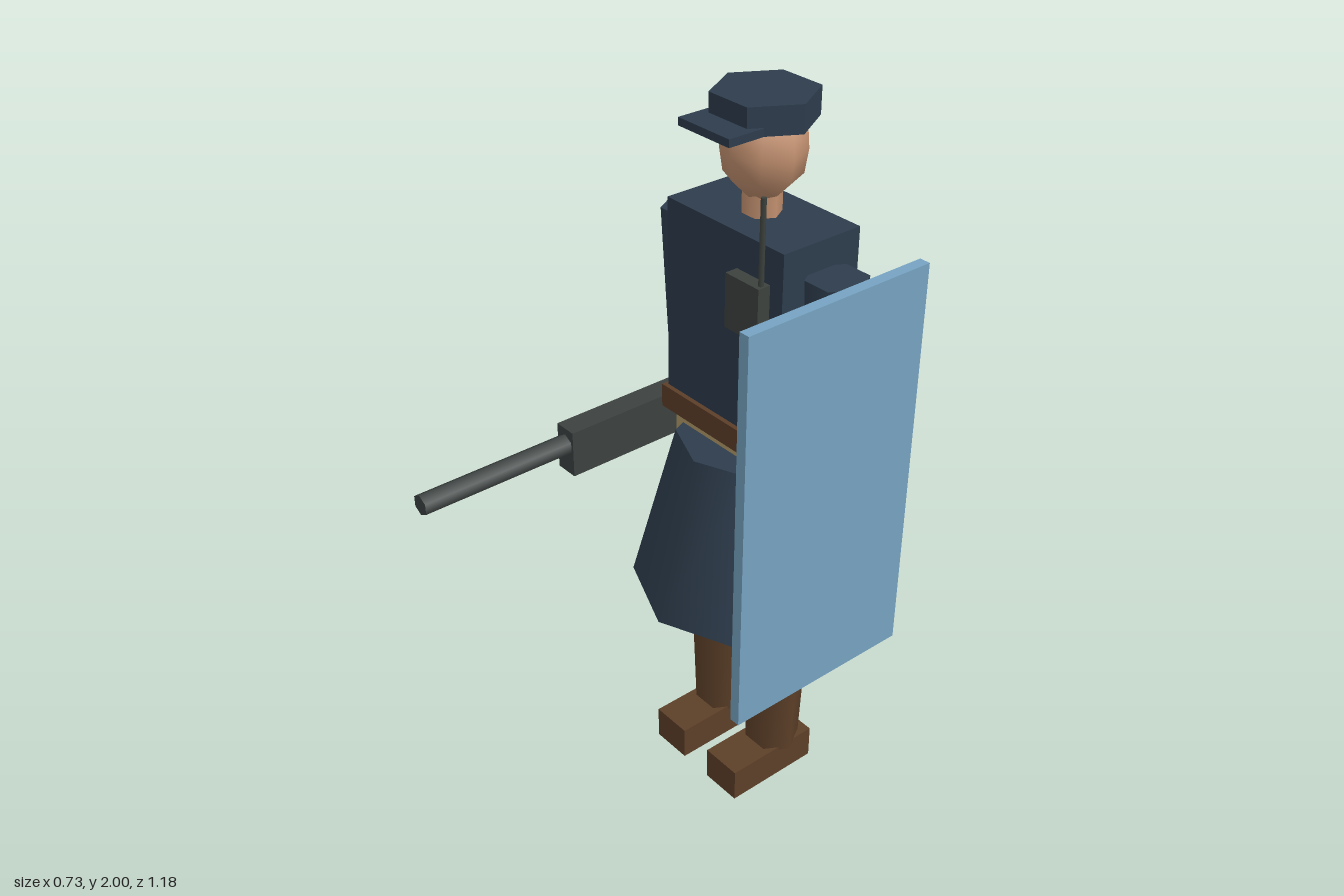
import * as THREE from 'three';

const CX = -0.026, CZ = -0.262; // body axis

const mat = (name, color, extra = {}) => {
  const m = new THREE.MeshStandardMaterial({ color, ...extra });
  m.name = name;
  return m;
};

export function createModel() {
  const navy = mat('navy cloth', 0x2d3c4c);
  const navyFlat = mat('navy cap', 0x2d3c4c, { flatShading: true });
  const skin = mat('skin', 0xc2906f);
  const brown = mat('brown leather', 0x5c3f28);
  const tan = mat('tan cloth', 0xb09a68);
  const gunGrey = mat('gun grey', 0x3c4241);
  const radioGrey = mat('radio grey', 0x3d423e);
  const black = mat('pad black', 0x232627);
  const blue = mat('shield blue', 0x76a3c1);

  const model = new THREE.Group();
  model.name = 'guard';

  const add = (name, geometry, material) => {
    const mesh = new THREE.Mesh(geometry, material);
    mesh.name = name;
    model.add(mesh);
    return mesh;
  };
  // Box given by its low and high limits on each axis
  const box = (name, m, [x0, x1], [y0, y1], [z0, z1]) =>
    add(name, new THREE.BoxGeometry(x1 - x0, y1 - y0, z1 - z0), m)
      .position.set((x0 + x1) / 2, (y0 + y1) / 2, (z0 + z1) / 2);
  // Upright faceted column with corners on the x axis
  const column = (name, m, x, z, [y0, y1], rBottom, rTop, sides = 6) =>
    add(name, new THREE.CylinderGeometry(rTop, rBottom, y1 - y0, sides, 1, false, Math.PI / 2), m)
      .position.set(x, (y0 + y1) / 2, z);

  // Torso, belt, hips and skirt
  box('torso', navy, [CX - 0.209, CX + 0.209], [1.15, 1.70], [CZ - 0.12, CZ + 0.12]);
  box('belt', brown, [CX - 0.22, CX + 0.22], [1.11, 1.175], [CZ - 0.133, CZ + 0.133]);
  box('hips', tan, [CX - 0.19, CX + 0.19], [0.9, 1.12], [CZ - 0.109, CZ + 0.109]);
  column('skirt', navy, CX, CZ, [0.613, 1.075], 0.328, 0.208, 8);

  // Neck and head
  column('neck', skin, CX, CZ, [1.69, 1.78], 0.05, 0.05);
  const headProfile = [[0, 1.742], [0.042, 1.746], [0.096, 1.8], [0.105, 1.86], [0.1, 1.92], [0.06, 1.96], [0, 1.97]]
    .map(([r, y]) => new THREE.Vector2(r, y));
  add('head', new THREE.LatheGeometry(headProfile, 8), skin).position.set(CX, 0, CZ);

  // Peaked cap
  column('cap', navyFlat, CX, CZ, [1.93, 2.0], 0.132, 0.132);
  box('capPeak', navy, [CX - 0.088, CX + 0.088], [1.931, 1.951], [-0.18, -0.077]);

  // Arms and legs, mirrored about the body axis
  for (const [side, s] of [['left', 1], ['right', -1]]) {
    const ax = CX + s * 0.2625, lx = CX + s * 0.112;
    column(side + 'Sleeve', navy, ax, CZ, [1.275, 1.625], 0.061, 0.078);
    column(side + 'Forearm', skin, ax, CZ, [0.95, 1.285], 0.045, 0.054);
    column(side + 'Thigh', tan, lx, CZ, [0.54, 0.95], 0.094, 0.105);
    column(side + 'Shin', brown, lx, CZ, [0.09, 0.555], 0.077, 0.094);
    box(side + 'Shoe', brown, [lx - 0.061, lx + 0.061], [0, 0.1], [-0.357, -0.067]);
    box(side + 'KneePad', black, [lx - 0.061, lx + 0.061], [0.49, 0.612], [-0.2, -0.15]);
  }

  // Gun carried in the right hand
  const gx = CX - 0.2625;
  box('gunBody', gunGrey, [gx - 0.033, gx + 0.033], [1.0, 1.13], [-0.295, 0.156]);
  const barrel = add('gunBarrel', new THREE.CylinderGeometry(0.029, 0.029, 0.444, 6), gunGrey);
  barrel.rotation.x = Math.PI / 2;
  barrel.position.set(gx, 1.083, 0.368);

  // Chest radio with aerial
  box('radio', radioGrey, [0.024, 0.14], [1.464, 1.607], [-0.15, -0.106]);
  column('radioAerial', radioGrey, 0.129, -0.124, [1.6, 1.825], 0.007, 0.007);

  // Shield on the left side
  box('shield', blue, [0.335, 0.365], [0.556, 1.66], [-0.428, 0.124]);

  return model;
}
